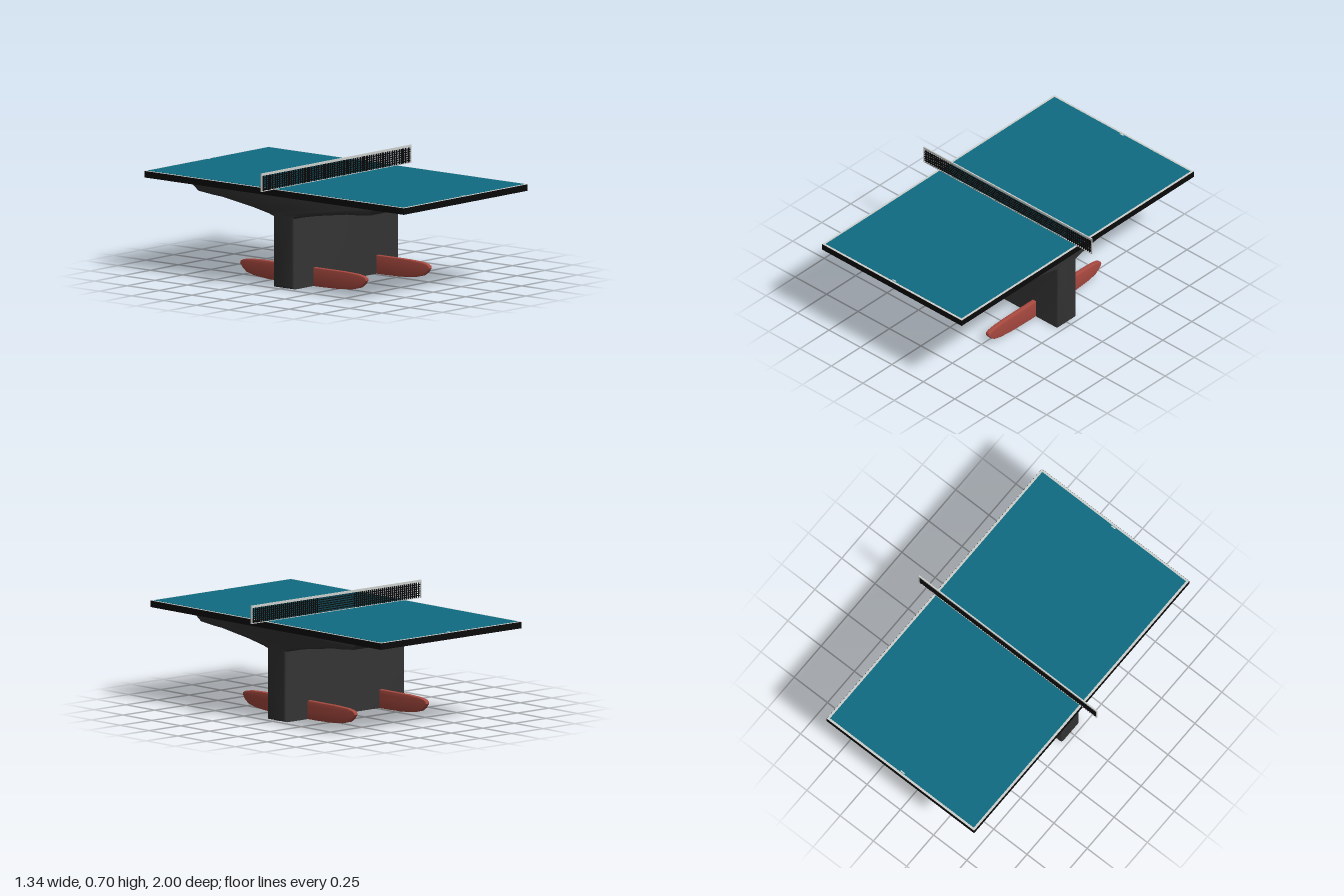
import * as THREE from 'three';
import { mergeGeometries, toCreasedNormals } from 'three/addons/utils/BufferGeometryUtils.js';

const mat = (name, color) => {
  const m = new THREE.MeshStandardMaterial({ color });
  m.name = name;
  return m;
};

const box = (w, h, d, x, y, z) => new THREE.BoxGeometry(w, h, d).translate(x, y, z);

// Extrudes a profile mirrored about z = 0 (points [z, y], bottom to top) across x
function crossExtrude(half, width, bevel) {
  const pts = [...half, ...half.slice().reverse().map(([z, y]) => [-z, y])];
  const shape = new THREE.Shape(pts.map(([z, y]) => new THREE.Vector2(z, y)));
  const depth = width - 2 * bevel;
  const geo = new THREE.ExtrudeGeometry(shape, {
    depth, bevelEnabled: true, bevelSize: bevel, bevelThickness: bevel,
    bevelOffset: -bevel, bevelSegments: 3,
  });
  geo.translate(0, 0, -depth / 2).rotateY(Math.PI / 2);
  return toCreasedNormals(geo, 0.7);
}

export function createModel() {
  const model = new THREE.Group();
  model.name = 'tableTennisTable';
  const black = mat('black', 0x0a0a0a);
  const teal = mat('teal', 0x0f6c82);
  const white = mat('offWhite', 0xcccfcc);
  const grey = mat('darkGrey', 0x343434);
  const red = mat('red', 0xaa4a40);
  const add = (name, geo, material) => {
    const mesh = new THREE.Mesh(geo, material);
    mesh.name = name;
    model.add(mesh);
    return mesh;
  };

  // Table top with white border and coloured playing field
  add('tableTop', box(1.11, 0.038, 2, 0, 0.576, 0), black);
  add('borderLines', box(1.108, 0.002, 1.998, 0, 0.5955, 0), white);
  add('playingField', box(1.08, 0.002, 1.97, 0, 0.597, 0), teal);
  for (const s of [-1, 1]) add('centreMark', box(0.03, 0.002, 0.008, 0, 0.5975, s * 0.979), white);

  // Central pedestal flaring out under the top
  const pedestal = [
    [0.08, 0], [0.08, 0.418], [0.12, 0.43], [0.25, 0.455],
    [0.48, 0.488], [0.55, 0.492], [0.66, 0.503], [0.735, 0.56],
  ];
  add('pedestal', crossExtrude(pedestal, 0.946, 0.015), grey);

  // Two long feet passing through the pedestal
  const foot = [
    [0.14, 0], [0.27, 0.003], [0.38, 0.013], [0.435, 0.027], [0.465, 0.048],
    [0.485, 0.075], [0.482, 0.088], [0.465, 0.098], [0.42, 0.106], [0.32, 0.11],
  ];
  for (const s of [-1, 1]) {
    add(s > 0 ? 'leftFoot' : 'rightFoot', crossExtrude(foot, 0.027, 0.003), red).position.x = s * 0.283;
  }

  // Net strings
  const strings = [];
  const columns = 84, rows = 7;
  for (let i = 1; i < columns; i++) {
    strings.push(box(0.005, 0.095, 0.006, -0.667 + (1.334 * i) / columns, 0.645, 0));
  }
  for (let j = 1; j < rows; j++) {
    strings.push(box(1.334, 0.004, 0.006, 0, 0.6 + (0.09 * j) / rows, 0));
  }
  add('netStrings', mergeGeometries(strings), black);

  // Net edging tape
  add('netTape', mergeGeometries([
    box(1.34, 0.014, 0.008, 0, 0.698, 0),
    box(1.34, 0.004, 0.008, 0, 0.599, 0),
    box(0.006, 0.108, 0.008, -0.667, 0.651, 0),
    box(0.006, 0.108, 0.008, 0.667, 0.651, 0),
  ]), white);

  return model;
}
